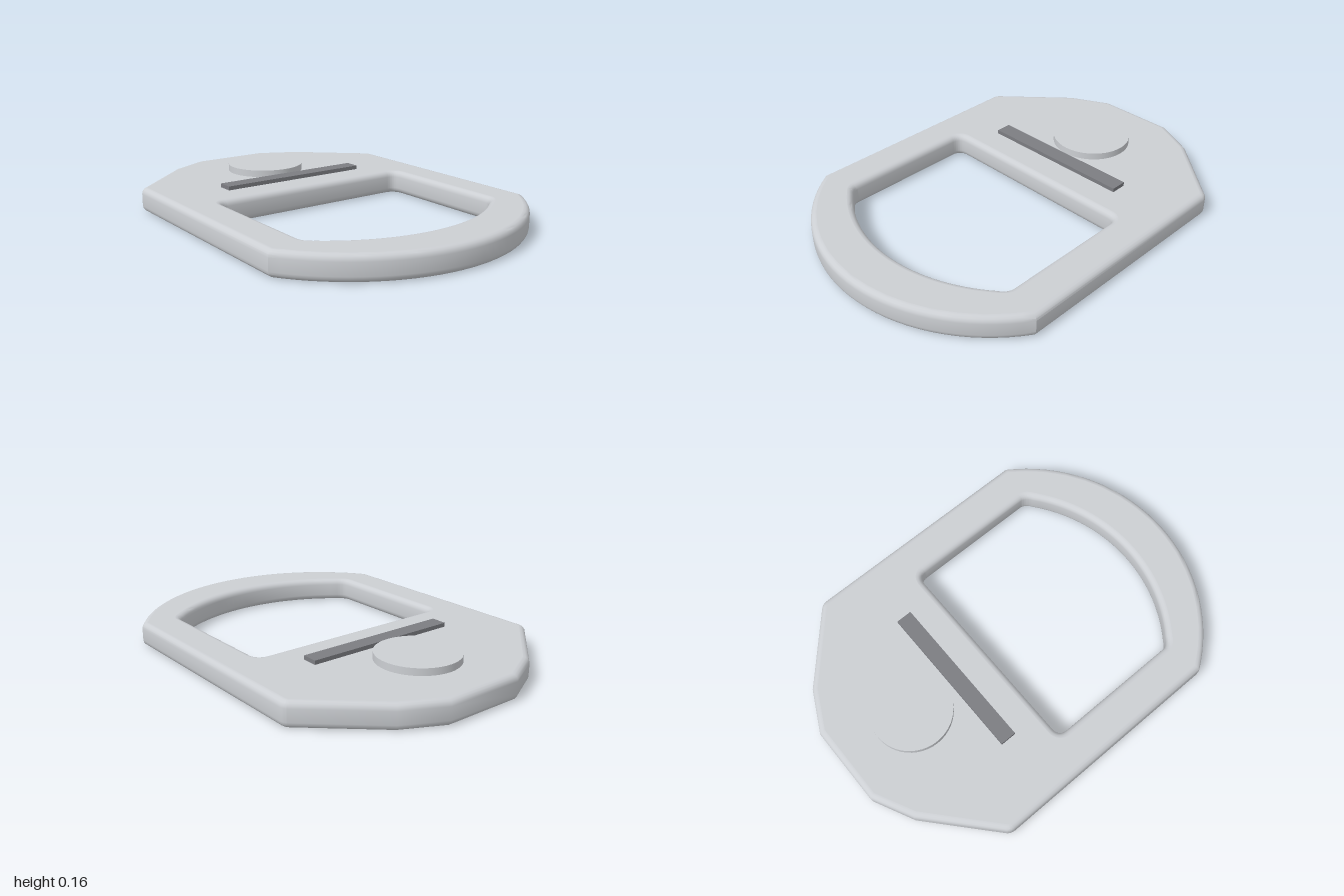
import * as THREE from 'three';
import { toCreasedNormals } from 'three/addons/utils/BufferGeometryUtils.js';

const THICKNESS = 0.12, BEVEL = 0.03, HALF = 0.733;

// Arc through (half, -end) and (-half, -end), bulging down to -low
function addArc(path, half, end, low) {
  const sag = low - end;
  const r = (half * half + sag * sag) / (2 * sag);
  const cy = r - low;
  const a = Math.atan2(-end - cy, half);
  path.absarc(0, cy, r, a, -Math.PI - a, true);
}

// Keep the large top and bottom faces flat beside the smooth bevel
function flattenCaps(geometry) {
  const { position, normal } = geometry.attributes;
  for (let i = 0; i < position.count; i += 3) {
    const ys = [0, 1, 2].map((k) => position.getY(i + k));
    if (Math.max(...ys) - Math.min(...ys) > 1e-5) continue;
    const up = ys[0] > THICKNESS / 2 - BEVEL ? 1 : -1;
    for (let k = 0; k < 3; k++) normal.setXYZ(i + k, 0, up, 0);
  }
  return geometry;
}

export function createModel() {
  const group = new THREE.Group();
  const metal = new THREE.MeshStandardMaterial({ color: 0xcccfd3 });
  metal.name = 'light grey metal';
  const dark = new THREE.MeshStandardMaterial({ color: 0x7c7d82 });
  dark.name = 'dark grey';

  const add = (name, geometry, material, x, y, z) => {
    const mesh = new THREE.Mesh(geometry, material);
    mesh.name = name;
    mesh.position.set(x, y, z);
    group.add(mesh);
  };

  // Plate outline: chamfered back, straight sides, round front
  const outline = new THREE.Shape();
  outline.moveTo(-HALF, 0.575);
  outline.quadraticCurveTo(-HALF, 0.6, -HALF + 0.018, 0.617);
  outline.lineTo(-0.4, 0.9);
  outline.lineTo(-0.2, 1);
  outline.lineTo(0.2, 1);
  outline.lineTo(0.4, 0.9);
  outline.lineTo(HALF - 0.018, 0.617);
  outline.quadraticCurveTo(HALF, 0.6, HALF, 0.575);
  outline.lineTo(HALF, -0.6);
  addArc(outline, HALF, 0.6, 1);
  outline.closePath();

  // Strap opening with rounded corners and a curved front edge
  const hole = new THREE.Path();
  hole.moveTo(-0.54, 0.09);
  hole.quadraticCurveTo(-0.54, 0.14, -0.49, 0.14);
  hole.lineTo(0.49, 0.14);
  hole.quadraticCurveTo(0.54, 0.14, 0.54, 0.09);
  hole.lineTo(0.54, -0.54);
  hole.quadraticCurveTo(0.54, -0.57, 0.5, -0.595);
  addArc(hole, 0.5, 0.595, 0.77);
  hole.quadraticCurveTo(-0.54, -0.57, -0.54, -0.54);
  hole.closePath();
  // The opening runs opposite to the outline so its walls face inward
  outline.holes.push(new THREE.Path(hole.getPoints(16).reverse()));

  const plate = new THREE.ExtrudeGeometry(outline, {
    depth: THICKNESS - 2 * BEVEL, bevelEnabled: true, bevelThickness: BEVEL,
    bevelSize: BEVEL, bevelOffset: -BEVEL, bevelSegments: 4, curveSegments: 16,
  });
  plate.rotateX(-Math.PI / 2);
  add('plate', flattenCaps(toCreasedNormals(plate, 0.6)), metal, 0, BEVEL, 0);

  // Raised details on the plate
  add('button', new THREE.CylinderGeometry(0.2, 0.2, 0.035, 48), metal, 0, THICKNESS + 0.0175, -0.6);
  add('bar', new THREE.BoxGeometry(0.8, 0.02, 0.08), dark, 0, THICKNESS + 0.01, -0.336);
  return group;
}
